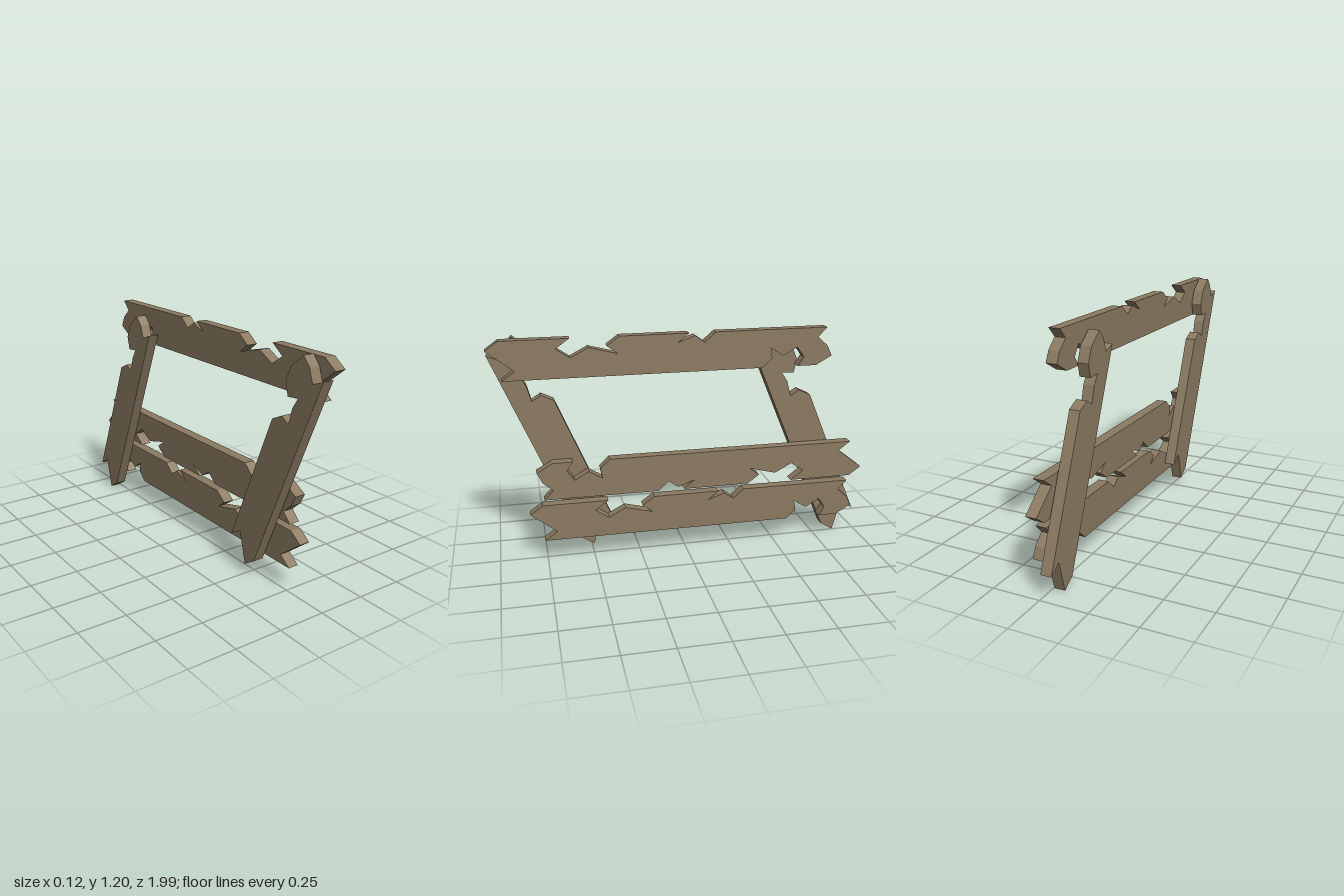
import * as THREE from 'three';

const WOOD = new THREE.MeshStandardMaterial({ color: 0x8b7a61, flatShading: true });
const THICK = 0.057;

// Splintered left end, from lower corner to upper corner
const leftEnd = [[0, 0], [0.064, 0.048], [-0.071, 0.153], [-0.005, 0.2]];

// Broken notches along the upper edge of the rails
const topNotches = [
  [0.338, 0.2], [0.268, 0.15], [0.338, 0.102], [0.429, 0.15], [0.574, 0.113], [0.52, 0.153], [0.584, 0.2],
  [0.938, 0.2], [0.879, 0.153], [0.97, 0.186], [1.02, 0.15], [1.078, 0.2],
];

// Splintered right end, measured from the end of the straight lower edge
const rightEnd = [[0.348, 0.2], [0.3, 0.15], [0.354, 0.102], [0.38, 0.048], [0.295, 0]];

// Bite out of the lower edge, next to the right end
const railBite = [[0.193, 0], [0.225, 0.048], [0.187, 0.102], [0.112, 0.059], [0.043, 0.102], [0.053, 0.048], [0, 0]];
const postBite = [[0.214, 0], [0.157, 0.043], [0.187, 0.102], [0.129, 0.091], [0.043, 0.102], [0.053, 0.048], [0, 0]];

// Plank outline runs along +x in the shape, which becomes -z in the model
function plank(name, straight, notches, bite, x, y, z, angle) {
  const right = [...rightEnd, ...bite].map(([u, v]) => [u + straight, v]);
  const points = [...leftEnd, ...notches, ...right].map(([u, v]) => new THREE.Vector2(u, v));
  const geometry = new THREE.ExtrudeGeometry(new THREE.Shape(points), { depth: THICK, bevelEnabled: false });
  geometry.rotateZ(angle);
  geometry.rotateY(Math.PI / 2);
  const mesh = new THREE.Mesh(geometry, WOOD);
  mesh.name = name;
  mesh.position.set(x, y, z);
  return mesh;
}

export function createModel() {
  const group = new THREE.Group();
  group.name = 'brokenFence';

  // Three rails on the left face; the middle one is turned end for end
  const rails = [
    ['topRail', 0.993, 0.925, 0],
    ['middleRail', 0.55, -0.925, Math.PI],
    ['bottomRail', 0.12, 0.759, 0],
  ];
  for (const [name, y, z, angle] of rails) {
    group.add(plank(name, 1.33, topNotches, railBite, 0.002, y, z, angle));
  }

  // Two leaning posts behind the rails
  const posts = [['frontPost', 0.174, 0.384], ['backPost', 0.122, -0.989]];
  for (const [name, y, z] of posts) {
    group.add(plank(name, 0.75, [], postBite, -0.06, y, z, 1.967));
  }
  return group;
}
